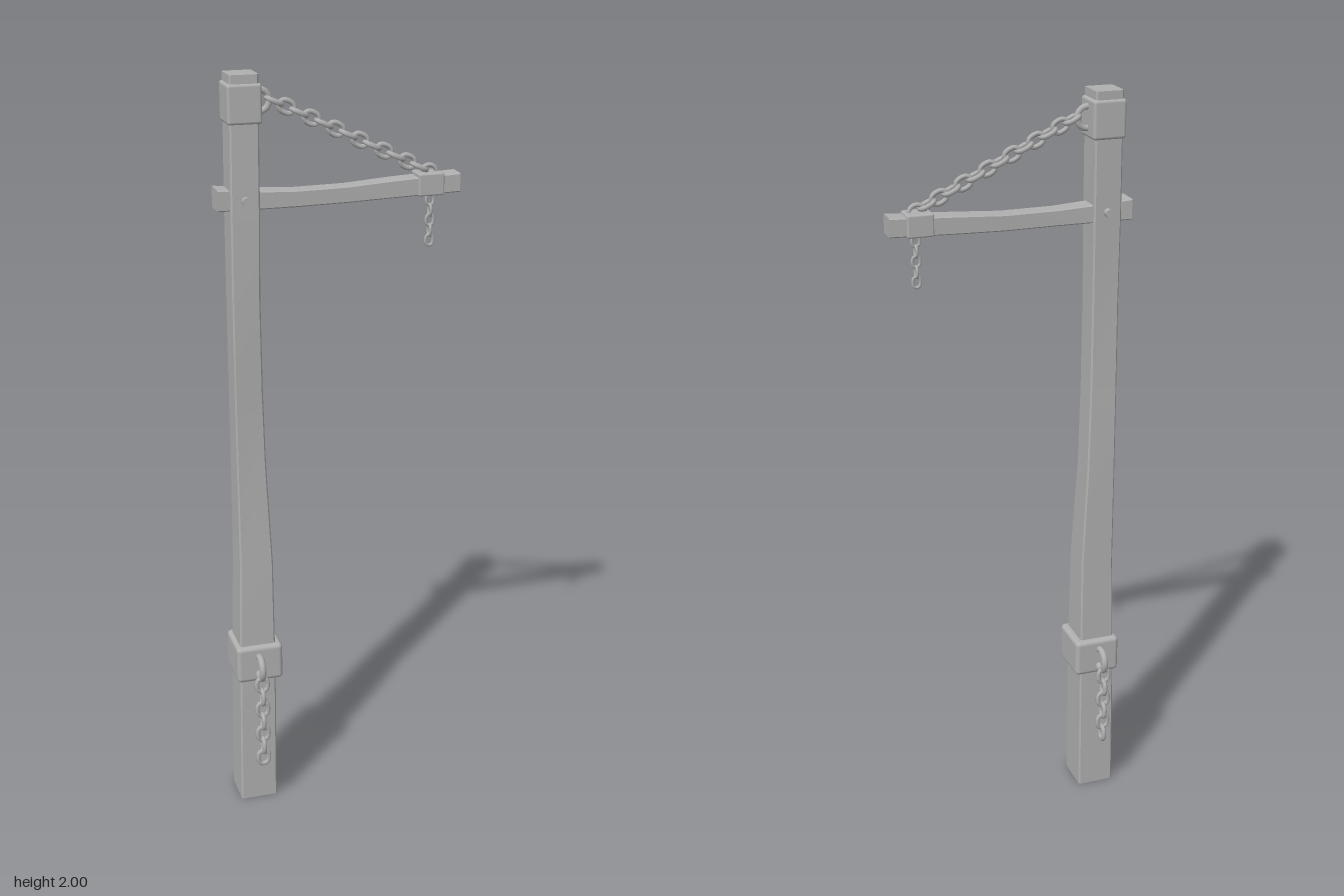
import * as THREE from 'three';
import { toCreasedNormals } from 'three/addons/utils/BufferGeometryUtils.js';
import { RoundedBoxGeometry } from 'three/addons/geometries/RoundedBoxGeometry.js';

const grey = new THREE.MeshStandardMaterial({ color: 0xb0b0b0 });
grey.name = 'plain grey';

function add(parent, name, geometry, x = 0, y = 0, z = 0) {
  const mesh = new THREE.Mesh(geometry, grey);
  mesh.name = name;
  mesh.position.set(x, y, z);
  parent.add(mesh);
  return mesh;
}

// Hewn timber: chamfered rectangles [t, u0, u1, v0, v1] joined along an axis.
function timber(sections, toPoint, bevel) {
  const rings = sections.map(([t, u0, u1, v0, v1]) => [
    [u1, v0 + bevel], [u1, v1 - bevel], [u1 - bevel, v1], [u0 + bevel, v1],
    [u0, v1 - bevel], [u0, v0 + bevel], [u0 + bevel, v0], [u1 - bevel, v0],
  ].map(([u, v]) => toPoint(t, u, v)));
  const positions = [];
  const face = (...pts) => pts.forEach((p) => positions.push(...p));
  for (let i = 0; i < rings.length - 1; i++) {
    for (let k = 0; k < 8; k++) {
      const n = (k + 1) % 8, a = rings[i], b = rings[i + 1];
      face(a[k], a[n], b[n], a[k], b[n], b[k]);
    }
  }
  const first = rings[0], last = rings[rings.length - 1];
  for (let k = 1; k < 7; k++) {
    face(first[0], first[k + 1], first[k]);
    face(last[0], last[k], last[k + 1]);
  }
  const geometry = new THREE.BufferGeometry();
  geometry.setAttribute('position', new THREE.Float32BufferAttribute(positions, 3));
  return toCreasedNormals(geometry, 0.5);
}

// Oval chain link lying in the xy plane, long along y.
function linkGeometry(length, width, wire) {
  const r = width / 2 - wire, s = length / 2 - wire - r;
  const pts = [];
  for (let i = 0; i < 8; i++) {
    const a = (i + 0.5) * Math.PI / 4;
    pts.push(new THREE.Vector3(r * Math.cos(a), r * Math.sin(a) + Math.sign(Math.sin(a)) * s, 0));
  }
  return new THREE.TubeGeometry(new THREE.CatmullRomCurve3(pts, true), 18, wire, 7, true);
}

// Straight chain of links, each turned a quarter from the one before.
function chain(parent, name, from, to, count, geometry, turned) {
  const group = new THREE.Group();
  group.name = name;
  const a = new THREE.Vector3(...from), b = new THREE.Vector3(...to);
  const along = new THREE.Quaternion().setFromUnitVectors(
    new THREE.Vector3(0, 1, 0), a.clone().sub(b).normalize());
  const twist = new THREE.Quaternion().setFromAxisAngle(new THREE.Vector3(0, 1, 0), Math.PI / 2);
  for (let i = 0; i < count; i++) {
    const link = add(group, 'chainLink', geometry);
    link.position.lerpVectors(a, b, i / (count - 1));
    link.quaternion.copy(along);
    if ((i + turned) % 2) link.quaternion.multiply(twist);
  }
  parent.add(group);
}

export function createModel() {
  const model = new THREE.Group();
  model.name = 'chainedPost';

  // Crooked post: [y, z0, z1, x0, x1]
  add(model, 'post', timber([
    [0, -0.055, 0.05, -0.3, -0.198],
    [0.4, -0.052, 0.05, -0.295, -0.196],
    [0.72, -0.047, 0.043, -0.287, -0.197],
    [1.0, -0.047, 0.031, -0.286, -0.208],
    [1.2, -0.04, 0.036, -0.288, -0.214],
    [1.45, -0.031, 0.044, -0.29, -0.218],
    [1.68, -0.038, 0.041, -0.288, -0.214],
    [2.0, -0.043, 0.037, -0.284, -0.211],
  ], (y, z, x) => [x, y, z], 0.004));

  // Slightly bowed cross beam: [x, y0, y1, z0, z1]
  add(model, 'beam', timber([
    [-0.318, 1.671, 1.725, -0.035, 0.028],
    [-0.25, 1.67, 1.718, -0.031, 0.026],
    [-0.12, 1.669, 1.711, -0.025, 0.022],
    [0.02, 1.67, 1.712, -0.03, 0.017],
    [0.14, 1.674, 1.72, -0.033, 0.017],
    [0.315, 1.68, 1.729, -0.032, 0.021],
  ], (x, y, z) => [x, y, z], 0.003));

  // Bevelled collars
  add(model, 'lowerCollar', new RoundedBoxGeometry(0.127, 0.105, 0.13, 2, 0.012), -0.2415, 0.427, -0.002);
  add(model, 'upperCollar', new RoundedBoxGeometry(0.087, 0.098, 0.09, 2, 0.008), -0.2475, 1.93, -0.003);
  add(model, 'beamBand', new RoundedBoxGeometry(0.069, 0.058, 0.061, 2, 0.005), 0.2375, 1.704, -0.006);

  // Peg through the post and beam
  const peg = add(model, 'peg', new THREE.CylinderGeometry(0.011, 0.011, 0.108, 10), -0.25, 1.697, 0);
  peg.rotation.x = Math.PI / 2;

  // Fixed rings
  const ring = new THREE.TorusGeometry(0.03, 0.0095, 8, 20);
  for (const z of [0.077, -0.08]) {
    add(model, 'collarRing', ring, -0.246, 0.425, z).rotation.y = Math.PI / 2;
  }
  add(model, 'topRing', new THREE.TorusGeometry(0.027, 0.008, 8, 20), -0.203, 1.932, -0.004);
  add(model, 'beamRing', new THREE.TorusGeometry(0.021, 0.006, 8, 20), 0.238, 1.729, -0.003);

  // Chains
  const bigLink = linkGeometry(0.054, 0.042, 0.0065);
  const smallLink = linkGeometry(0.036, 0.027, 0.004);
  chain(model, 'frontChain', [-0.247, 0.384, 0.099], [-0.247, 0.158, 0.099], 7, bigLink, 0);
  chain(model, 'backChain', [-0.247, 0.384, -0.099], [-0.247, 0.196, -0.099], 6, bigLink, 0);
  chain(model, 'stayChain', [-0.165, 1.929, 0], [0.211, 1.747, 0], 13, bigLink, 1);
  chain(model, 'hangingChain', [0.243, 1.66, -0.004], [0.243, 1.555, -0.004], 5, smallLink, 0);

  return model;
}
